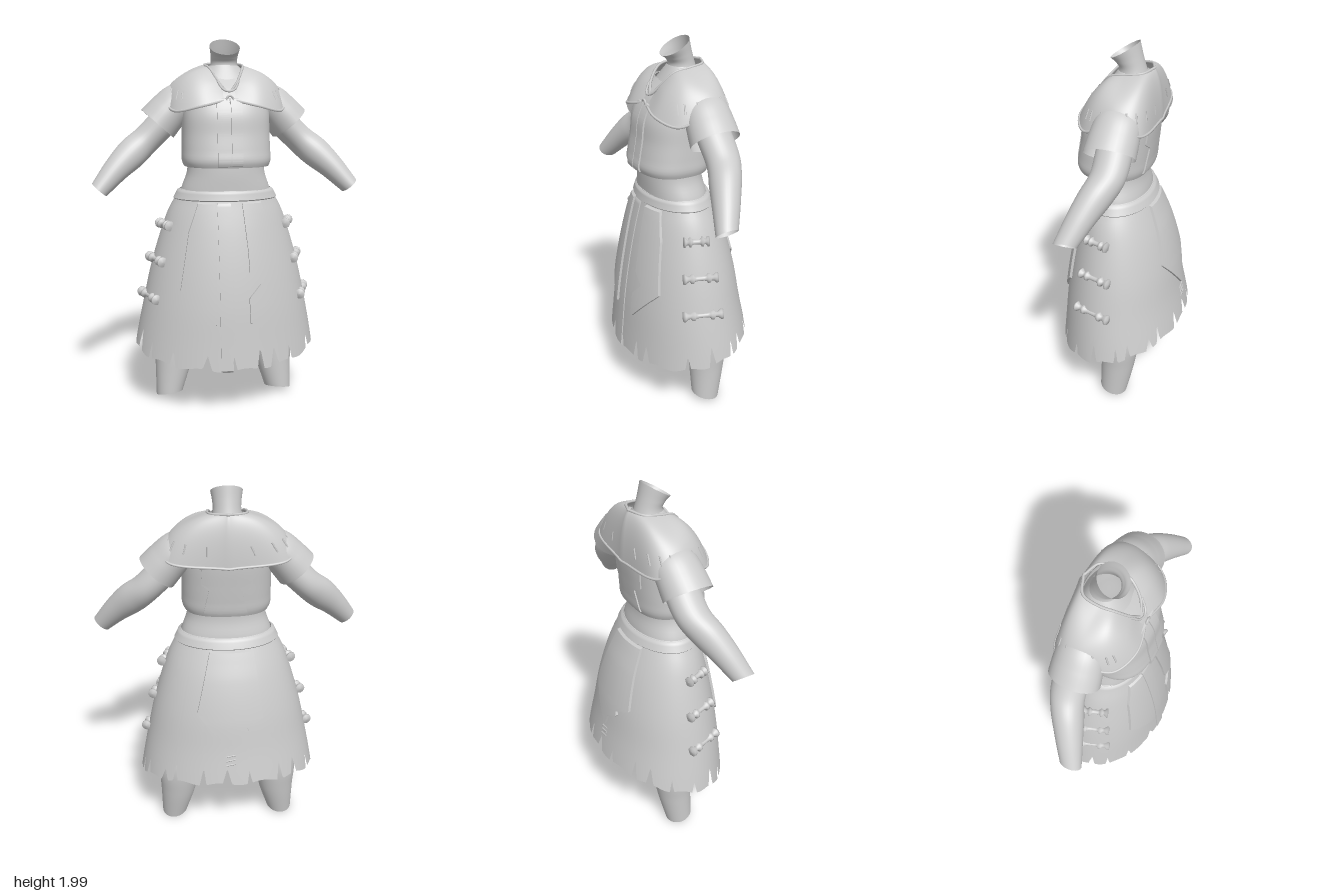
import * as THREE from 'three';
import { toCreasedNormals } from 'three/addons/utils/BufferGeometryUtils.js';

const material = new THREE.MeshStandardMaterial({ color: 0xcccccc, side: THREE.DoubleSide });
const TAU = Math.PI * 2;

function mesh(name, geometry, parent) {
  const m = new THREE.Mesh(geometry, material);
  m.name = name;
  parent.add(m);
  return m;
}

// Grid surface from f(u, v, i, j) -> [x, y, z]; closed wraps around in u.
function grid(nu, nv, f, closed = true) {
  const pos = [], index = [], cols = closed ? nu : nu + 1;
  for (let j = 0; j <= nv; j++)
    for (let i = 0; i < cols; i++) pos.push(...f(i / nu, j / nv, i, j));
  for (let j = 0; j < nv; j++)
    for (let i = 0; i < nu; i++) {
      const a = j * cols + i, b = j * cols + (i + 1) % cols;
      index.push(a, b, a + cols, b, b + cols, a + cols);
    }
  const g = new THREE.BufferGeometry();
  g.setAttribute('position', new THREE.Float32BufferAttribute(pos, 3));
  g.setIndex(index);
  g.computeVertexNormals();
  return g;
}

// Smooth table lookup: first column is the key, the rest are interpolated.
function table(rows) {
  const size = rows[0].length - 1;
  const c = new THREE.CubicInterpolant(rows.map(r => r[0]), rows.flatMap(r => r.slice(1)), size, new Float32Array(size));
  return k => Array.from(c.evaluate(k));
}

// Garment profile with rows [y, half width, front z, back z] and a superellipse plan.
function profile(rows, n) {
  const at = table(rows);
  const pw = s => Math.sign(s) * Math.abs(s) ** (2 / n);
  return {
    ring(t, y, off = 0) {
      const [a, f, b] = at(y);
      return [(a + off) * pw(Math.sin(t)), y, (f + b) / 2 + ((f - b) / 2 + off) * pw(Math.cos(t))];
    },
    z(x, y, side, off) {
      const [a, f, b] = at(y);
      const k = Math.max(0, 1 - Math.abs(x / a) ** n) ** (1 / n);
      return (f + b) / 2 + side * ((f - b) / 2 * k + off);
    },
  };
}

// Limb with rows [x, y, z, in-plane radius, depth radius, end tilt x, end tilt z].
function limb(rows, steps = 28, segments = 32) {
  const at = table(rows.map((r, i) => [i / (rows.length - 1), ...r, ...Array(7 - r.length).fill(0)]));
  return grid(segments, steps, (u, v) => {
    const p = at(v), a = at(Math.max(0, v - 0.02)), b = at(Math.min(1, v + 0.02));
    const dx = b[0] - a[0], dy = b[1] - a[1], l = Math.hypot(dx, dy);
    const c = Math.cos(u * TAU) * p[3], oz = Math.sin(u * TAU) * p[4];
    const ox = -dy / l * c;
    return [p[0] + ox, p[1] + dx / l * c + p[5] * ox + p[6] * oz, p[2] + oz];
  });
}

function linear(rows, y) {
  for (let i = 1; i < rows.length; i++)
    if (y >= rows[i][0]) {
      const [y0, x0] = rows[i - 1], [y1, x1] = rows[i];
      return x0 + (x1 - x0) * (y - y0) / (y1 - y0);
    }
  return rows[rows.length - 1][1];
}

// Raised cloth panel on a profile, bounded by two edges of [y, x] points going down.
function panel(name, prof, side, left, right, off, parent) {
  const top = left[0][0], bottom = left[left.length - 1][0], nu = 14, nv = 70;
  const g = grid(nu, nv, (u, v, i, j) => {
    const y = top + (bottom - top) * v, a = linear(left, y), b = linear(right, y);
    const k = THREE.MathUtils.clamp((i - 1) / (nu - 2), 0, 1);
    const x = a + (b - a) * k;
    const edge = i === 0 || i === nu || j === 0 || j === nv;
    return [x, y, prof.z(x, y, side, edge ? -0.004 : off)];
  }, false);
  return mesh(name, toCreasedNormals(g, 0.7), parent);
}

export function createModel() {
  const model = new THREE.Group();
  model.name = 'clothedFigure';

  // Bare torso and the open neck with its slanted rim
  const body = profile([[1.08, 0.25, 0.19, -0.13], [1.2, 0.243, 0.193, -0.128], [1.3, 0.21, 0.195, -0.108],
    [1.4, 0.205, 0.19, -0.11], [1.6, 0.2, 0.17, -0.14], [1.72, 0.19, 0.13, -0.15], [1.8, 0.13, 0.08, -0.13], [1.86, 0.078, 0.04, -0.1]], 2.2);
  mesh('torso', grid(48, 36, (u, v) => body.ring(u * TAU, 1.08 + 0.78 * v)), model);
  mesh('neck', limb([[0, 1.78, -0.03, 0.1, 0.1], [0, 1.86, -0.03, 0.073, 0.07], [0, 1.91, -0.012, 0.073, 0.068, 0, -0.25],
    [0, 1.955, 0.01, 0.081, 0.073, 0, -0.6]]), model);

  // Vest with a turned-in hem and a front placket
  const vest = profile([[1.335, 0.226, 0.238, -0.13], [1.36, 0.236, 0.248, -0.14], [1.42, 0.236, 0.24, -0.147],
    [1.5, 0.234, 0.226, -0.155], [1.62, 0.232, 0.208, -0.165], [1.72, 0.22, 0.155, -0.163], [1.79, 0.16, 0.085, -0.14]], 2.5);
  mesh('vest', toCreasedNormals(grid(72, 30, (u, v, i, j) =>
    vest.ring(u * TAU, 1.335 + 0.455 * Math.max(0, j - 1) / 29, j === 0 ? -0.035 : 0)), 1), model);
  for (const [a, b] of [[-0.07, -0.003], [0.003, 0.06]])
    panel('vestPlacket', vest, 1, [[1.69, a], [1.34, a]], [[1.69, b], [1.34, b]], 0.009, model);
  panel('vestBackPatch', vest, -1, [[1.66, -0.13], [1.5, -0.12], [1.47, -0.07], [1.35, -0.1]],
    [[1.66, 0.13], [1.52, 0.14], [1.49, 0.1], [1.35, 0.13]], 0.007, model);

  // Shoulder cape: inner, middle and outer edge by angle from front to back
  const capeAt = table([
    [0, 0, 1.71, 0.15, 0, 1.70, 0.162, 0, 1.685, 0.178],
    [0.5, 0.05, 1.775, 0.12, 0.13, 1.755, 0.145, 0.15, 1.65, 0.2],
    [1, 0.085, 1.84, 0.06, 0.215, 1.785, 0.085, 0.28, 1.625, 0.135],
    [1.6, 0.1, 1.86, -0.02, 0.255, 1.79, -0.025, 0.325, 1.69, -0.03],
    [2.3, 0.085, 1.87, -0.1, 0.2, 1.8, -0.13, 0.29, 1.64, -0.155],
    [Math.PI, 0, 1.875, -0.14, 0, 1.78, -0.172, 0, 1.615, -0.186]]);
  const cape = (t, v) => {
    const c = capeAt(t > Math.PI ? TAU - t : t), s = t > Math.PI ? -1 : 1;
    const w = [(1 - v) * (1 - 2 * v), 4 * v * (1 - v), v * (2 * v - 1)];
    const p = [0, 1, 2].map(k => w[0] * c[k] + w[1] * c[k + 3] + w[2] * c[k + 6]);
    return new THREE.Vector3(s * p[0], p[1], p[2]);
  };
  mesh('shoulderCape', grid(96, 16, (u, v) => cape(u * TAU, v).toArray()), model);
  for (const v of [0, 1]) {
    const pts = Array.from({ length: 64 }, (_, i) => cape(i / 64 * TAU, v));
    mesh('capeRim', new THREE.TubeGeometry(new THREE.CatmullRomCurve3(pts, true), 128, 0.007, 6, true), model);
  }
  // Stitches on the cape and the clasp at the throat
  for (const t of [0.9, 1.05, 1.3, 1.9, 2.15, 2.45, 2.8])
    for (const s of [t, TAU - t]) {
      const path = new THREE.LineCurve3(cape(s, 0.72), cape(s + 0.03, 0.86));
      mesh('stitch', new THREE.TubeGeometry(path, 2, 0.005, 5), model);
    }
  mesh('clasp', new THREE.TorusGeometry(0.017, 0.006, 8, 16), model).position.set(0, 1.685, 0.185);
  mesh('claspCord', new THREE.TubeGeometry(new THREE.CatmullRomCurve3(
    [[-0.055, 1.775, 0.125], [-0.03, 1.735, 0.155], [0, 1.725, 0.165], [0.03, 1.735, 0.155], [0.055, 1.775, 0.125]]
      .map(p => new THREE.Vector3(...p))), 20, 0.006, 6), model);

  // Skirt with a torn hem, dropping lower at the front
  const skirt = profile([[0.25, 0.515, 0.355, -0.38], [0.4, 0.49, 0.34, -0.355], [0.6, 0.45, 0.32, -0.315],
    [0.8, 0.405, 0.29, -0.28], [1, 0.345, 0.25, -0.225], [1.1, 0.308, 0.225, -0.185], [1.17, 0.27, 0.206, -0.155], [1.21, 0.25, 0.197, -0.136]], 2);
  const tears = [0, 0.29, 0.46, 0.68, 1.06, 1.42, 1.78, 1.96, 2.3, 2.46, 2.82, 3.1, 3.36, 3.75, 3.98, 4.3, 4.66, 5.0, 5.26, 5.6, 6.0, 6.2];
  const hem = t => {
    let y = 0.355 - 0.075 * Math.cos(t) + 0.008 * Math.sin(t * 13);
    tears.forEach((c, i) => {
      const d = Math.abs(Math.atan2(Math.sin(t - c), Math.cos(t - c)));
      const width = 0.028 + 0.012 * (i % 3);
      y += Math.max(0, 1 - d / width) * (0.075 + 0.03 * (i * 7 % 4) / 2);
    });
    return y;
  };
  mesh('skirt', grid(400, 20, (u, v) => skirt.ring(u * TAU, 1.21 + (hem(u * TAU) - 1.21) * v)), model);
  mesh('waistband', toCreasedNormals(grid(64, 6, (u, v, i, j) =>
    skirt.ring(u * TAU, 1.212 - 0.06 * v, j === 0 || j === 6 ? -0.005 : 0.008)), 0.8), model);

  // Overlapping skirt panels with ragged ends
  panel('centrePanel', skirt, 1, [[1.155, -0.07], [0.27, -0.07]], [[1.155, 0], [0.27, -0.006]], 0.006, model);
  panel('rightFrontPanel', skirt, 1,
    [[1.155, -0.165], [1, -0.22], [0.7, -0.27], [0.63, -0.21], [0.62, -0.2], [0.52, -0.092]],
    [[1.155, -0.08], [0.52, -0.09]], 0.014, model);
  panel('leftFrontPanel', skirt, 1,
    [[1.155, 0.06], [0.9, 0.085], [0.79, 0.09], [0.73, 0.15], [0.66, 0.085], [0.52, 0.09]],
    [[1.155, 0.165], [1, 0.215], [0.71, 0.265], [0.52, 0.092]], 0.014, model);
  panel('backPanel', skirt, -1,
    [[1.155, -0.13], [0.8, -0.18], [0.76, -0.09], [0.73, -0.1], [0.7, -0.03], [0.62, -0.005]],
    [[1.155, 0.1], [0.83, 0.175], [0.62, 0]], 0.014, model);
  for (let i = 0; i < 3; i++) {
    const y = 0.6 - i * 0.025;
    const path = new THREE.LineCurve3(new THREE.Vector3(-0.025, y, skirt.z(0, y, -1, 0.004)), new THREE.Vector3(0.025, y - 0.01, skirt.z(0, y, -1, 0.004)));
    mesh('mendingStitch', new THREE.TubeGeometry(path, 2, 0.005, 5), model);
  }

  // Bone toggles: knobbed ends and a bound middle
  const half = [[0.013, 0.1], [0.017, 0.17], [0.026, 0.2], [0.026, 0.26], [0.014, 0.3], [0.015, 0.36], [0.028, 0.43], [0.027, 0.48], [0.001, 0.5]];
  const boneProfile = [...half.slice().reverse().map(([r, h]) => new THREE.Vector2(r, -h)), ...half.map(([r, h]) => new THREE.Vector2(r, h))];
  const bone = new THREE.LatheGeometry(boneProfile, 16);

  for (const s of [1, -1]) {
    const side = new THREE.Group();
    side.name = s > 0 ? 'leftSide' : 'rightSide';
    model.add(side);
    for (const [y, z0, z1] of [[1.02, 0, 0.13], [0.83, -0.025, 0.155], [0.63, -0.035, 0.175]]) {
      const at = z => {
        const t = Math.acos((z - skirt.ring(Math.PI / 2, y)[2]) / (skirt.ring(0, y)[2] - skirt.ring(Math.PI / 2, y)[2]));
        const p = skirt.ring(t, y, 0.022);
        return new THREE.Vector3(s * p[0], y, z);
      };
      const a = at(z0), b = at(z1);
      const toggle = mesh('toggle', bone, side);
      toggle.position.copy(a).add(b).multiplyScalar(0.5);
      toggle.quaternion.setFromUnitVectors(new THREE.Vector3(0, 1, 0), b.clone().sub(a).normalize());
      toggle.scale.y = a.distanceTo(b);
    }
    const mirror = rows => rows.map(r => [s * r[0], ...r.slice(1, 5), s * (r[5] || 0), r[6] || 0]);
    // Short flared sleeve
    mesh('sleeve', limb(mirror([[0.18, 1.72, -0.03, 0.06, 0.085], [0.245, 1.675, -0.03, 0.096, 0.115],
      [0.305, 1.615, -0.025, 0.107, 0.125], [0.36, 1.553, -0.02, 0.113, 0.13]])), side);
    // Arm, open at the wrist
    mesh('arm', limb(mirror([[0.24, 1.66, -0.03, 0.075, 0.085], [0.33, 1.56, -0.035, 0.078, 0.09], [0.42, 1.47, -0.03, 0.077, 0.088],
      [0.5, 1.4, 0.005, 0.082, 0.085], [0.585, 1.32, 0.05, 0.068, 0.073], [0.675, 1.22, 0.1, 0.05, 0.058]]), 36), side);
    // Leg, cut off below the knee
    mesh('leg', limb(mirror([[0.12, 1.12, 0.02, 0.11, 0.12], [0.165, 0.8, 0, 0.125, 0.125], [0.23, 0.54, -0.02, 0.112, 0.112],
      [0.275, 0.37, -0.045, 0.12, 0.105], [0.292, 0.2, -0.035, 0.1, 0.095], [0.315, 0.03, -0.015, 0.075, 0.076, -0.25, 0.25]]), 40), side);
  }
  return model;
}
